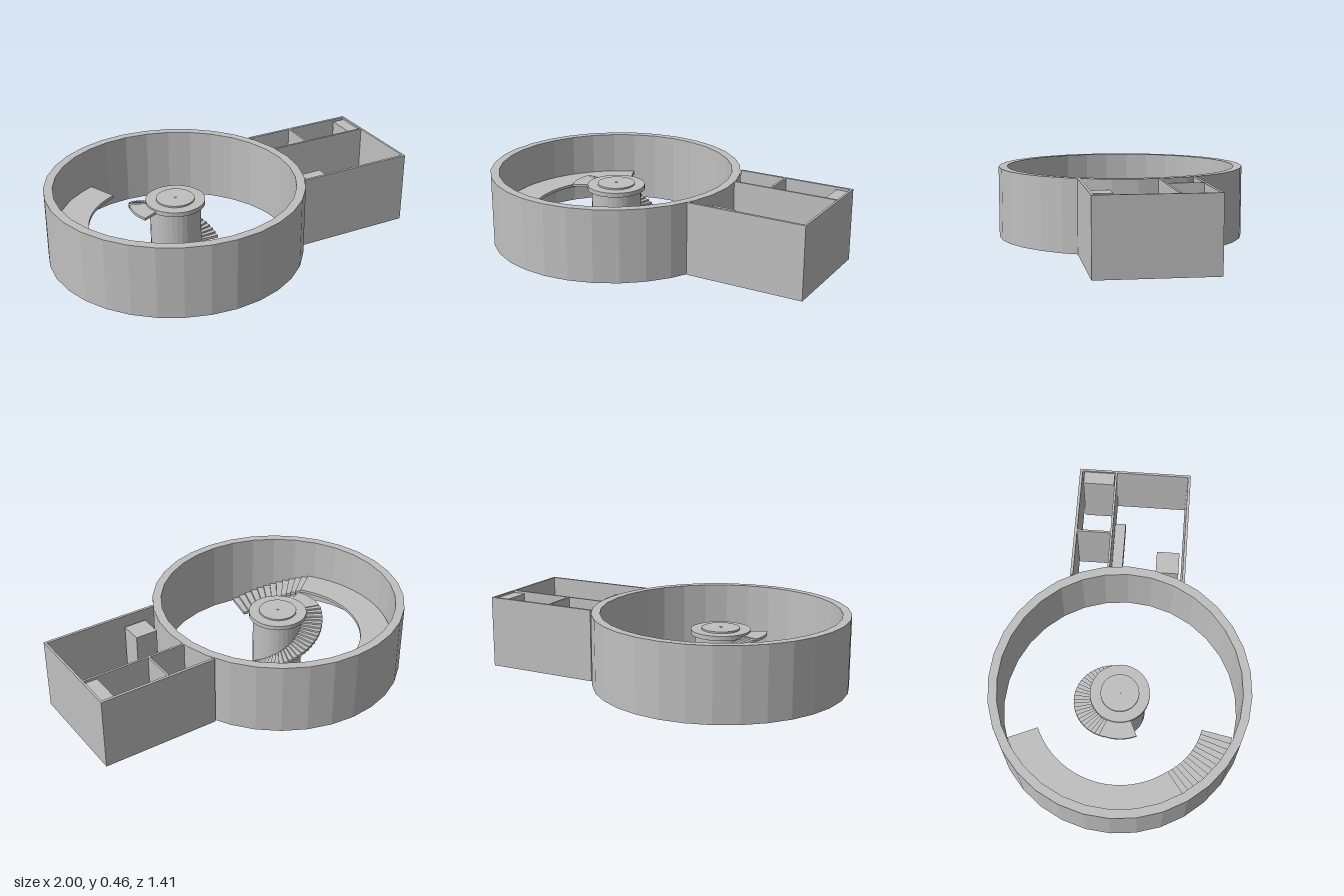
import * as THREE from 'three';

const D = Math.PI / 180;
const CX = -0.3; // axis of the round hall

export function createModel() {
  const grey = new THREE.MeshStandardMaterial({ color: 0xc0c0c0, flatShading: true, side: THREE.DoubleSide });
  grey.name = 'plainGrey';
  const model = new THREE.Group();
  model.name = 'roundHouse';

  const add = (name, geometry, parent = model) => {
    const mesh = new THREE.Mesh(geometry, grey);
    mesh.name = name;
    parent.add(mesh);
    return mesh;
  };

  // Box given by its limits on each axis
  const block = (name, x0, x1, y0, y1, z0, z1, parent) => {
    const g = new THREE.BoxGeometry(x1 - x0, y1 - y0, z1 - z0);
    g.translate((x0 + x1) / 2, (y0 + y1) / 2, (z0 + z1) / 2);
    return add(name, g, parent);
  };

  // Points along an arc; angles run from +x towards -z
  const arc = (r, a0, a1, n) => Array.from({ length: n + 1 }, (_, i) => {
    const a = (a0 + (a1 - a0) * i / n) * D;
    return new THREE.Vector2(r * Math.cos(a), r * Math.sin(a));
  });

  // Upright extrusion of a plan shape
  const raise = (shape, y0, y1) => {
    const g = new THREE.ExtrudeGeometry(shape, { depth: y1 - y0, bevelEnabled: false });
    g.rotateX(-Math.PI / 2);
    g.translate(CX, y0, 0);
    return g;
  };

  // Slab covering part of an annulus
  const sector = (name, r0, r1, a0, a1, y0, y1, n, parent) => {
    const shape = new THREE.Shape([...arc(r1, a0, a1, n), ...arc(r0, a1, a0, n)]);
    return add(name, raise(shape, y0, y1), parent);
  };

  // Round outer wall
  const wall = new THREE.Shape(arc(0.705, 0, 360, 32).slice(0, -1));
  wall.holes.push(new THREE.Path(arc(0.657, 360, 0, 32).slice(0, -1)));
  add('roundWall', raise(wall, 0.05, 0.455));

  // Rectangular annex, open above and below
  const annex = new THREE.Group();
  annex.name = 'annex';
  model.add(annex);
  block('annexFrontWall', 0.335, 0.997, 0.05, 0.455, 0.297, 0.312, annex);
  block('annexBackWall', 0.335, 0.997, 0.05, 0.455, -0.322, -0.307, annex);
  block('annexEndWall', 0.985, 0.997, 0.05, 0.455, -0.31, 0.3, annex);
  block('longPartition', 0.395, 0.987, 0.05, 0.457, -0.12, -0.108, annex);
  block('shortPartition', 0.602, 0.613, 0.05, 0.457, -0.31, -0.115, annex);

  // Annex furniture
  block('tallCabinet', 0.912, 0.984, 0.05, 0.445, -0.297, -0.123, annex);
  block('wallBench', 0.505, 0.79, 0.09, 0.2, -0.107, -0.046, annex);
  block('cornerCupboard', 0.405, 0.532, 0.047, 0.4, 0.148, 0.275, annex);

  // Hollow central column with a flanged cap
  const column = new THREE.Group();
  column.name = 'column';
  model.add(column);
  const disc = (name, r, y0, y1, open = false) => {
    const g = new THREE.CylinderGeometry(r, r, y1 - y0, 32, 1, open);
    g.translate(CX, (y0 + y1) / 2, 0);
    return add(name, g, column);
  };
  disc('columnShaft', 0.14, 0, 0.335, true);
  disc('columnFlange', 0.163, 0.33, 0.355);
  disc('columnCap', 0.105, 0.355, 0.364);
  disc('capPin', 0.006, 0.364, 0.367);

  // Spiral stair around the column, ending on a landing
  const spiral = new THREE.Group();
  spiral.name = 'spiralStair';
  model.add(spiral);
  const N = 28, sweep = 167 / N, rise = 0.285 / N;
  for (let i = 0; i < N; i++) {
    const y = 0.05 + rise * i;
    const a = -3 + sweep * i;
    sector('spiralStep', 0.138, 0.255, a, a + sweep, y, y + 0.016, 1, spiral);
  }
  sector('spiralLanding', 0.138, 0.253, 164, 205, 0.33, 0.345, 6, spiral);

  // Curved gallery along the wall with its flight of steps
  const gallery = new THREE.Group();
  gallery.name = 'gallery';
  model.add(gallery);
  sector('galleryFloor', 0.475, 0.65, 113, 217, 0.203, 0.22, 26, gallery);
  const M = 12, turn = 42 / M, lift = 0.155 / M;
  for (let i = 0; i < M; i++) {
    const y = 0.05 + lift * i;
    const a = 259 - turn * i;
    sector('galleryStep', 0.475, 0.65, a - turn, a, y, y + 0.017, 1, gallery);
  }

  return model;
}
